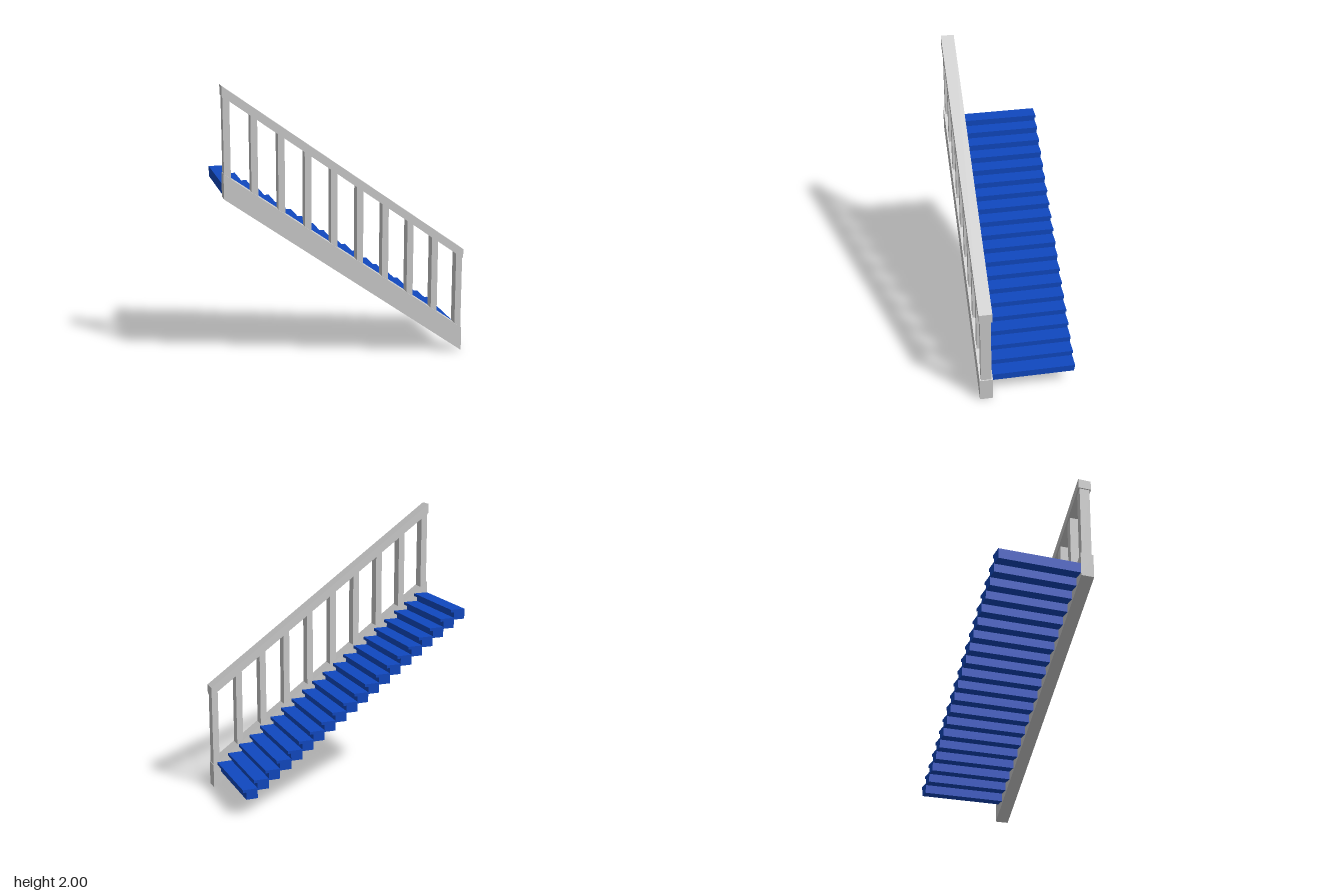
import * as THREE from 'three';

const SLOPE = -0.717; // pitch of the flight, falling towards +x
const grey = new THREE.MeshStandardMaterial({ color: 0xcccccc, flatShading: true });
const blue = new THREE.MeshStandardMaterial({ color: 0x1048c0, flatShading: true });

// Upright-ended bar whose top and bottom edges follow the pitch.
// bottom and top are heights at x = 0 of the two sloping edges.
function pitchedBar(name, x0, x1, bottom, top, z0, z1) {
  const shape = new THREE.Shape([
    new THREE.Vector2(x0, bottom + SLOPE * x0),
    new THREE.Vector2(x1, bottom + SLOPE * x1),
    new THREE.Vector2(x1, top + SLOPE * x1),
    new THREE.Vector2(x0, top + SLOPE * x0),
  ]);
  const geometry = new THREE.ExtrudeGeometry(shape, { depth: z1 - z0, bevelEnabled: false });
  geometry.translate(0, 0, z0);
  const mesh = new THREE.Mesh(geometry, grey);
  mesh.name = name;
  return mesh;
}

function box(name, x0, x1, y0, y1, z0, z1) {
  const mesh = new THREE.Mesh(new THREE.BoxGeometry(x1 - x0, y1 - y0, z1 - z0), blue);
  mesh.position.set((x0 + x1) / 2, (y0 + y1) / 2, (z0 + z1) / 2);
  mesh.name = name;
  return mesh;
}

export function createModel() {
  const model = new THREE.Group();
  model.name = 'staircase';

  // Side stringer and handrail
  model.add(pitchedBar('stringer', -0.86, 0.86, 0.617, 0.79, 0.25, 0.345));
  model.add(pitchedBar('handrail', -0.86, 0.86, 1.315, 1.383, 0.25, 0.345));

  // Balusters between stringer and handrail
  const balusters = new THREE.Group();
  balusters.name = 'balusters';
  for (let i = 0; i < 10; i++) {
    const x = -0.832 + i * 0.185;
    balusters.add(pitchedBar('baluster', x - 0.023, x + 0.023, 0.785, 1.32, 0.26, 0.335));
  }
  model.add(balusters);

  // Steps: a thin tread with a nosing over a riser block
  const steps = new THREE.Group();
  steps.name = 'steps';
  const run = 0.0833, rise = 0.0596, nosing = 0.024, thickness = 0.02;
  for (let i = 0; i < 20; i++) {
    const front = 0.83 - i * run;
    const back = front - run - nosing;
    const top = 0.193 + i * rise;
    steps.add(box('tread', back, front, top - thickness, top, -0.345, 0.25));
    steps.add(box('riser', back, front - nosing, top - 0.073, top - thickness, -0.345, 0.25));
  }
  model.add(steps);

  return model;
}
